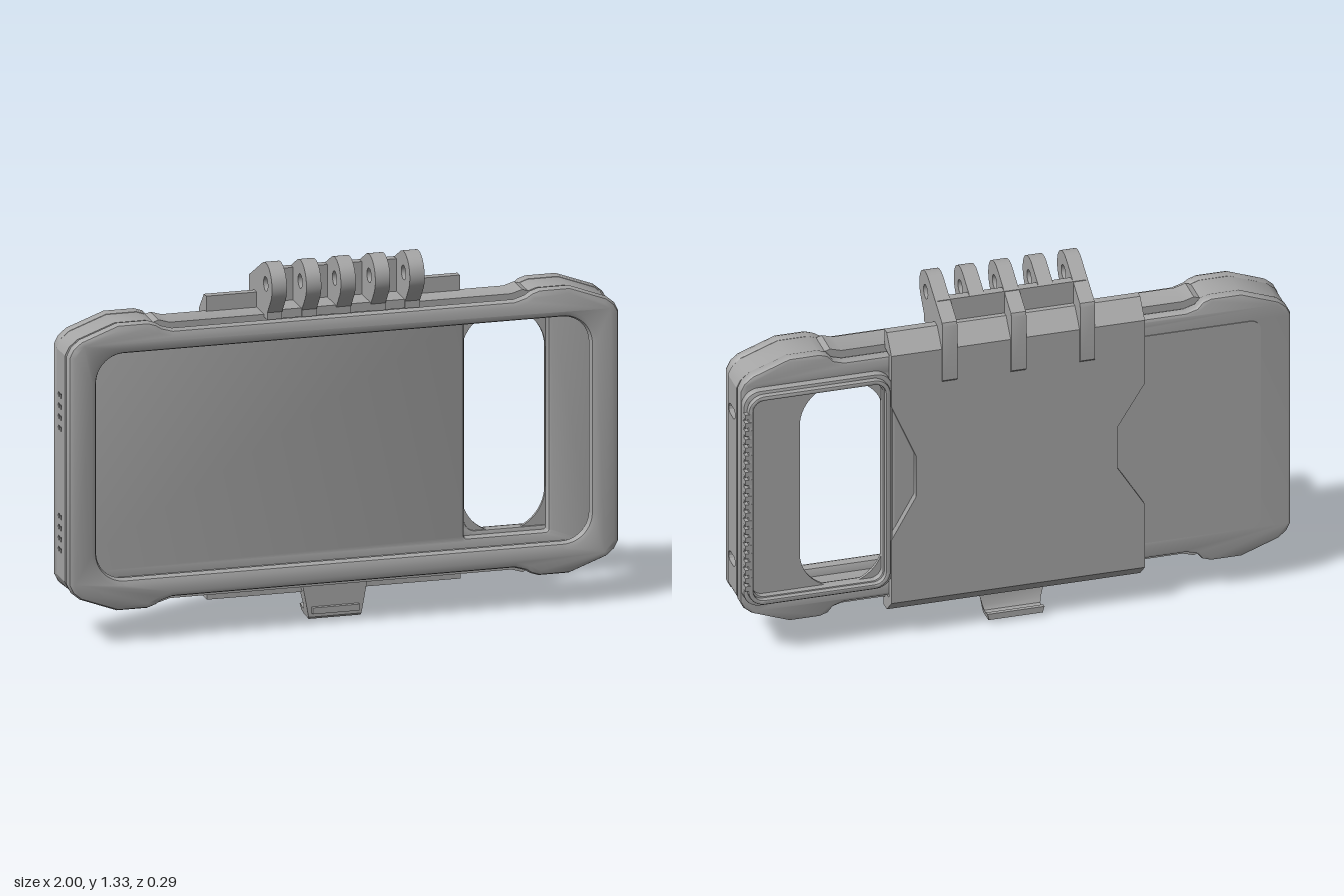
import * as THREE from 'three';
import { toCreasedNormals } from 'three/addons/utils/BufferGeometryUtils.js';

const CY = 0.64; // mid height of the case

export function createModel() {
  const model = new THREE.Group();
  const grey = new THREE.MeshStandardMaterial({ color: 0xa5a5a5 });
  grey.name = 'grey plastic';

  const add = (name, geo, parent = model) => {
    const mesh = new THREE.Mesh(toCreasedNormals(geo, 0.6), grey);
    mesh.name = name;
    parent.add(mesh);
    return mesh;
  };
  const group = (name) => {
    const g = new THREE.Group();
    g.name = name;
    model.add(g);
    return g;
  };
  const poly = (pts) => new THREE.Shape(pts.map(([x, y]) => new THREE.Vector2(x, y)));
  const box = (name, x0, x1, y0, y1, z0, z1, parent) =>
    add(name, new THREE.BoxGeometry(x1 - x0, y1 - y0, z1 - z0)
      .translate((x0 + x1) / 2, (y0 + y1) / 2, (z0 + z1) / 2), parent);

  // Rounded rectangle outline
  const roundRect = (x0, x1, y0, y1, r, s = new THREE.Shape()) => {
    s.absarc(x1 - r, y1 - r, r, 0, Math.PI / 2);
    s.absarc(x0 + r, y1 - r, r, Math.PI / 2, Math.PI);
    s.absarc(x0 + r, y0 + r, r, Math.PI, Math.PI * 1.5);
    s.absarc(x1 - r, y0 + r, r, Math.PI * 1.5, Math.PI * 2);
    s.closePath();
    return s;
  };
  const rectHole = (...a) => roundRect(...a, new THREE.Path());

  // Extrude an x-y shape between two depths, with edges trimmed by a bevel
  const slab = (shape, z0, z1, bevel = 0, segments = 2) =>
    new THREE.ExtrudeGeometry(shape, {
      depth: z1 - z0 - 2 * bevel, curveSegments: 10, bevelEnabled: bevel > 0,
      bevelSize: bevel, bevelThickness: bevel, bevelOffset: -bevel, bevelSegments: segments,
    }).translate(0, 0, z0 + bevel);

  // Extrude a side profile (horizontal axis is -z) across x
  const across = (shape, x0, x1, bevel = 0) => slab(shape, x0, x1, bevel).rotateY(Math.PI / 2);
  const side = (pts) => poly(pts.map(([z, y]) => [-z, y]));

  // Case outline: raised corner bumpers, lower middle
  const quarter = (mid, top) => [
    [1, top - 0.105], [0.985, top - 0.075], [0.955, top - 0.05], [0.82, top],
    [0.71, top], [0.68, top - 0.01], [0.66, mid + 0.012], [0.62, mid],
  ];
  const upper = (mid, top) => {
    const q = quarter(mid, top);
    return [...q, ...q.map(([x, y]) => [-x, y]).reverse()];
  };
  const outline = (mid, top) => {
    const u = upper(mid, top);
    return poly([...u, ...u.map(([x, y]) => [-x, -y]) ].map(([x, y]) => [x, y + CY]));
  };

  // Front frame with a chamfered opening
  const front = outline(0.485, 0.52);
  front.holes.push(rectHole(-0.895, 0.895, 0.235, 1.05, 0.1));
  add('frontFrame', slab(front, 0.05, 0.1, 0.022));

  // Middle walls: top and bottom strips
  for (const s of [1, -1]) {
    const pts = [...upper(0.5, 0.515), [-0.935, 0.41], [-0.925, 0.43], [-0.9, 0.44],
      [0.9, 0.44], [0.925, 0.43], [0.935, 0.41]];
    add(s > 0 ? 'topWall' : 'bottomWall',
      slab(poly(pts.map(([x, y]) => [x, CY + s * y])), -0.052, 0.052));
  }

  // Side walls: strap slots on the left, sound holes on the right
  const leftWall = side([[0.052, 0.23], [-0.052, 0.23], [-0.052, 1.05], [0.052, 1.05]]);
  for (const y of [0.345, 0.93]) {
    leftWall.holes.push(rectHole(-0.04, 0.035, y - 0.02, y + 0.02, 0.0199));
  }
  add('leftWall', across(leftWall, 0.935, 1));
  const rightWall = side([[0.052, 0.23], [-0.052, 0.23], [-0.052, 1.05], [0.052, 1.05]]);
  for (const y0 of [0.33, 0.77]) {
    for (let i = 0; i < 4; i++) {
      for (const u of [-0.002, 0.022]) {
        const hole = new THREE.Path();
        hole.absarc(u, y0 + i * 0.04, 0.009, 0, Math.PI * 2);
        rightWall.holes.push(hole);
      }
    }
  }
  add('rightWall', across(rightWall, -1, -0.935));

  // Back shell with a window for the lens area
  const back = outline(0.475, 0.52);
  back.holes.push(rectHole(0.48, 0.785, 0.235, 1.045, 0.01));
  add('backShell', slab(back, -0.097, -0.05, 0.012));
  add('backPanel', slab(roundRect(-0.89, 0.44, 0.23, 1.05, 0.04), -0.1, -0.094));

  // Lens surround: stadium plate, raised rim, grip ribs
  const lens = group('lensSurround');
  const plate = roundRect(0.465, 0.97, 0.23, 1.05, 0.04);
  plate.holes.push(rectHole(0.48, 0.785, 0.237, 1.043, 0.15));
  add('lensPlate', slab(plate, -0.102, -0.09), lens);
  const ring = (name, o, i, z0, z1, b) => {
    const s = roundRect(0.455 + o, 0.995 - o, 0.215 + o, 1.065 - o, 0.06);
    s.holes.push(rectHole(0.455 + i, 0.995 - i, 0.215 + i, 1.065 - i, 0.04));
    add(name, slab(s, z0, z1, b), lens);
  };
  ring('rimBase', 0, 0.035, -0.125, -0.085, 0.004);
  ring('rimLip', 0.012, 0.03, -0.145, -0.12, 0.005);
  for (let i = 0; i < 22; i++) {
    const y = 0.3 + i * 0.0324;
    box('gripRib', 0.972, 0.996, y - 0.01, y + 0.01, -0.146, -0.12, lens);
  }

  // Sliding back clamp: notched plate with hooked top and bottom edges
  const clamp = group('backClamp');
  add('clampPlate', slab(poly([
    [-0.46, 0.15], [0.46, 0.15], [0.46, 0.4], [0.37, 0.56], [0.37, 0.72], [0.46, 0.93],
    [0.46, 1.13], [-0.46, 1.13], [-0.46, 0.88], [-0.36, 0.72], [-0.36, 0.56], [-0.46, 0.4],
  ]), -0.127, -0.098), clamp);
  add('topEdge', across(side([
    [-0.127, 1.13], [-0.098, 1.12], [-0.04, 1.125], [-0.04, 1.195], [-0.07, 1.195],
  ].reverse()), -0.46, 0.46), clamp);
  add('bottomEdge', across(side([
    [-0.127, 0.15], [-0.07, 0.098], [-0.03, 0.098], [-0.03, 0.15], [-0.098, 0.16],
  ].reverse()), -0.46, 0.46), clamp);

  // Pull hook under the clamp, narrowing downward
  const hook = across(side([
    [-0.015, 0.14], [-0.015, 0.008], [-0.022, 0], [-0.08, 0.004], [-0.1, 0.014], [-0.1, 0.037],
    [-0.085, 0.037], [-0.072, 0.028], [-0.055, 0.03], [-0.046, 0.045], [-0.04, 0.1], [-0.04, 0.14],
  ]), -0.12, 0.12);
  const p = hook.attributes.position;
  for (let i = 0; i < p.count; i++) {
    p.setX(i, p.getX(i) * (0.78 + 0.22 * Math.min(p.getY(i) / 0.1, 1)));
  }
  hook.computeVertexNormals();
  add('pullHook', hook, clamp);
  box('hookGrip', -0.085, 0.085, 0.022, 0.045, -0.02, 0, clamp);

  // Hinge mount: five eyelet prongs, every other one runs over the back
  const mount = group('hingeMount');
  const prong = (long) => {
    const s = new THREE.Shape();
    s.absarc(-0.07, 1.255, 0.077, THREE.MathUtils.degToRad(218), THREE.MathUtils.degToRad(62), true);
    const tail = long
      ? [[0.12, 1.24], [0.13, 1.235], [0.136, 1.22], [0.136, 1.01], [0.125, 1], [0.12, 1], [0.12, 1.135],
        [0.07, 1.19], [0.04, 1.19], [0.04, 1.13]]
      : [[0.05, 1.277], [0.05, 1.13]];
    for (const [u, y] of [...tail, [-0.09, 1.13], [-0.09, 1.156]]) s.lineTo(u, y);
    s.closePath();
    const eye = new THREE.Path();
    eye.absarc(-0.07, 1.255, 0.026, 0, Math.PI * 2);
    s.holes.push(eye);
    return s;
  };
  for (let i = -2; i <= 2; i++) {
    const x = i * 0.125;
    add('prong', across(prong(i % 2 === 0), x - 0.027, x + 0.027), mount);
  }
  box('prongBridge', -0.27, 0.27, 1.14, 1.28, -0.05, -0.018, mount);
  box('prongBase', -0.27, 0.27, 1.13, 1.162, -0.05, 0.085, mount);

  return model;
}
